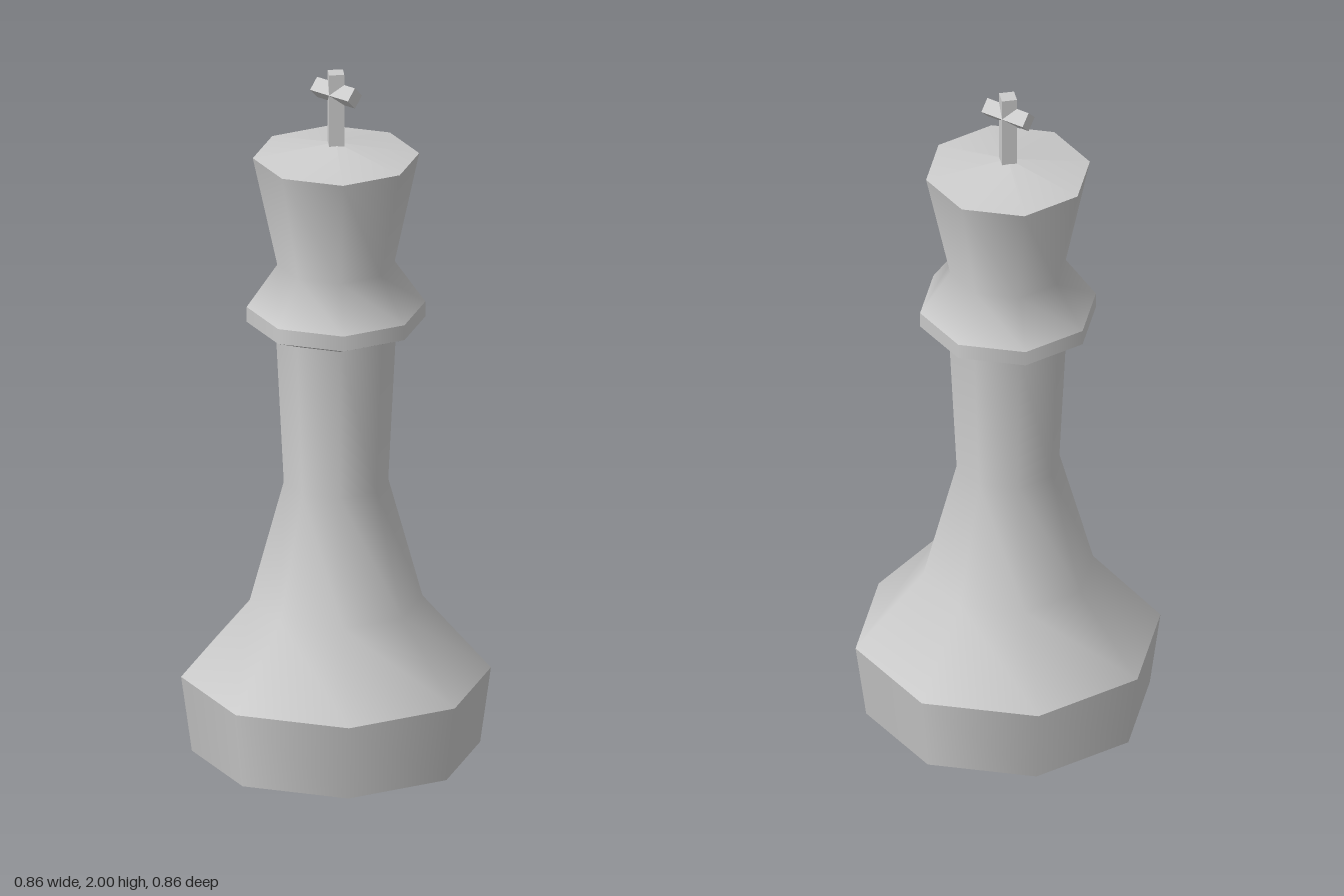
import * as THREE from 'three';

const SIDES = 8;
const material = new THREE.MeshStandardMaterial({ color: 0xcccccc });
const flatMaterial = new THREE.MeshStandardMaterial({ color: 0xcccccc, flatShading: true });

// Eight-sided turned section, smooth inside; sections meet at hard edges
function turned(name, profile) {
  const points = profile.map(([r, y]) => new THREE.Vector2(r, y));
  const mesh = new THREE.Mesh(new THREE.LatheGeometry(points, SIDES), material);
  mesh.name = name;
  return mesh;
}

// Square bar standing on its edge, so its section is a diamond
function diamondBar(name, radius, length, y) {
  const mesh = new THREE.Mesh(new THREE.CylinderGeometry(radius, radius, length, 4), flatMaterial);
  mesh.name = name;
  mesh.position.y = y;
  return mesh;
}

export function createModel() {
  const model = new THREE.Group();
  model.name = 'chessKing';

  // Turned body, from the floor up
  model.add(
    turned('baseUnderside', [[0, 0], [0.4, 0]]),
    turned('base', [[0.4, 0], [0.43, 0.22]]),
    turned('stem', [[0.43, 0.22], [0.24, 0.44], [0.145, 0.79], [0.167, 1.235]]),
    turned('collarUnderside', [[0.167, 1.235], [0.248, 1.268]]),
    turned('collarRim', [[0.248, 1.268], [0.248, 1.312]]),
    turned('head', [[0.248, 1.312], [0.163, 1.435], [0.231, 1.753]]),
    turned('crownTop', [[0.231, 1.753], [0, 1.793]])
  );

  // Cross on top
  const cross = new THREE.Group();
  cross.name = 'cross';
  const arm = diamondBar('crossArm', 0.03, 0.137, 1.94);
  arm.rotation.z = Math.PI / 2;
  cross.add(diamondBar('crossPost', 0.03, 0.22, 1.89), arm);
  model.add(cross);

  return model;
}
